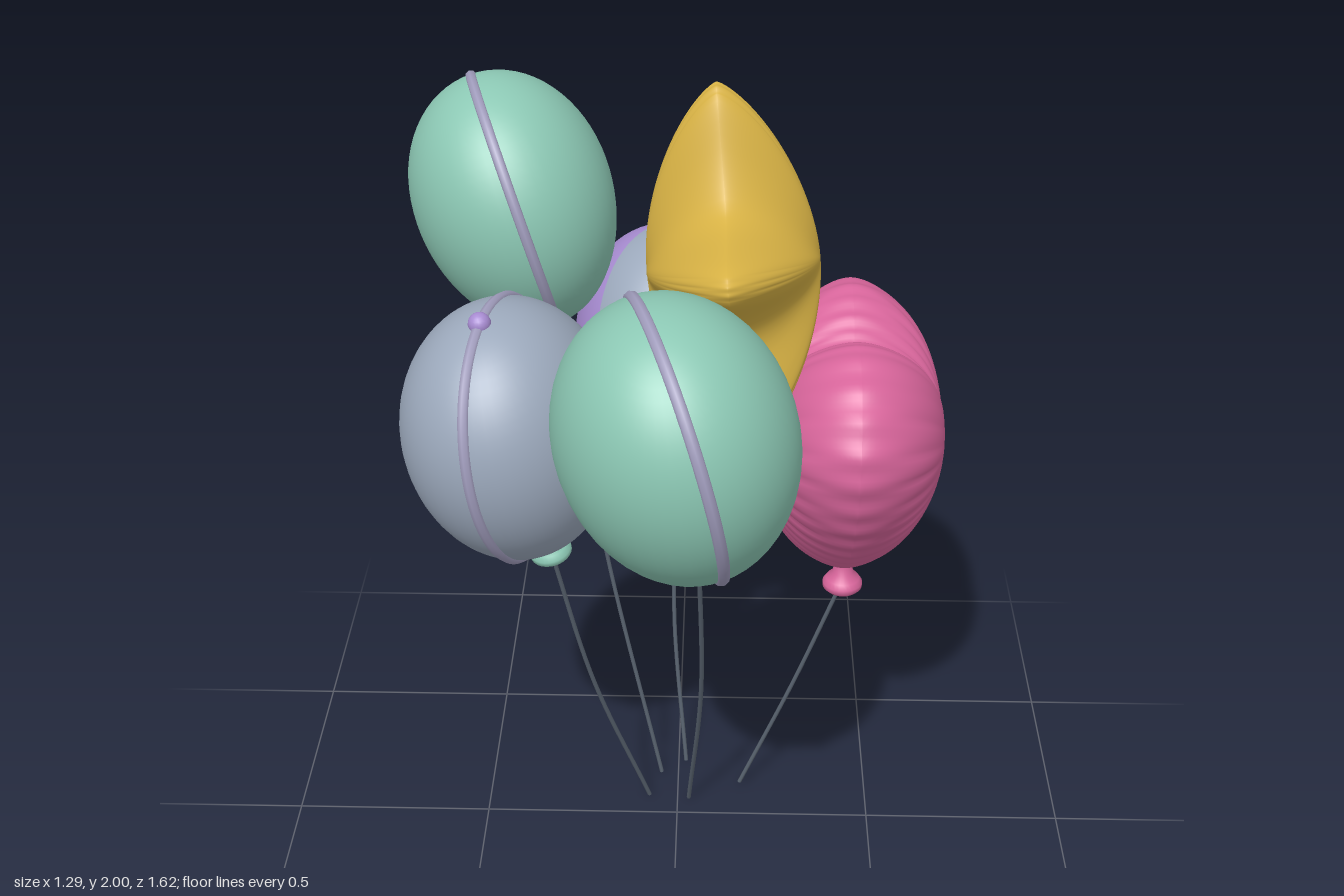
import * as THREE from 'three';

const mat = (name, color, side = THREE.FrontSide) => {
  const m = new THREE.MeshStandardMaterial({ color, side });
  m.name = name;
  return m;
};
const V = (x, y, z) => new THREE.Vector3(x, y, z);

export function createModel() {
  const root = new THREE.Group();
  root.name = 'balloonBunch';
  const teal = mat('teal', 0x8cc8b4);
  const purple = mat('purple', 0xa88cd2);
  const grey = mat('blueGrey', 0x9ca9bc);
  const lilac = mat('lilacSeam', 0xa19dbd);
  const gold = mat('gold', 0xd9b345);
  const pink = mat('pink', 0xd8659b);
  const cord = mat('cord', 0x56606c);

  const add = (parent, name, geo, material) => {
    const mesh = new THREE.Mesh(geo, material);
    mesh.name = name;
    parent.add(mesh);
    return mesh;
  };

  // Flared knot hanging below its origin, optionally only a sector of it
  const knotProfile = [[0.018, 0.06], [0.022, 0.03], [0.026, 0.005], [0.042, -0.012],
    [0.05, -0.024], [0.05, -0.036], [0.04, -0.046], [0, -0.048]]
    .map(([r, y]) => new THREE.Vector2(r, y)).reverse();
  const knotGeo = (start = 0, length = Math.PI * 2) =>
    new THREE.LatheGeometry(knotProfile, 28, start, length);

  // Thin cord with a gentle bow
  const string = (name, a, b, bow = 0.02) => {
    const mid = a.clone().lerp(b, 0.5);
    mid.x += bow * Math.sign(b.x - a.x) * -1;
    mid.z += bow * Math.sign(b.z - a.z) * -1;
    add(root, name, new THREE.TubeGeometry(new THREE.CatmullRomCurve3([a, mid, b]), 20, 0.0055, 6), cord);
  };

  // Egg shape: half thickness x, half length y, half width z, a little slimmer below
  const HX = 0.245, HY = 0.32, HZ = 0.285;
  const egg = (u, v, w) => {
    const s = 1 + 0.05 * v;
    return V(u * HX * s, v * HY, w * HZ * s);
  };
  const eggGeo = (start = 0, length = Math.PI * 2) => {
    const g = new THREE.SphereGeometry(1, 48, 36, start, length);
    const p = g.attributes.position, n = g.attributes.normal;
    for (let i = 0; i < p.count; i++) {
      const u = p.getX(i), v = p.getY(i), w = p.getZ(i);
      const q = egg(u, v, w);
      p.setXYZ(i, q.x, q.y, q.z);
      const k = V(u / HX, v / HY - 0.05 / HY, w / HZ).normalize();
      n.setXYZ(i, k.x, k.y, k.z);
    }
    return g;
  };
  const seamGeo = () => {
    const pts = [];
    for (let i = 0; i < 40; i++) {
      const a = (i / 40) * Math.PI * 2;
      pts.push(egg(0, Math.cos(a), Math.sin(a)).multiplyScalar(0.985));
    }
    return new THREE.TubeGeometry(new THREE.CatmullRomCurve3(pts, true), 96, 0.014, 8, true);
  };

  // Round balloons: centre, knot position, horizontal seam direction, string foot
  const rounds = [
    { name: 'backTealBalloon', c: V(-0.4, 1.58, -0.38), k: V(-0.28, 1.23, -0.3), seam: V(0.12, 0, 0.56),
      foot: V(-0.045, 0, -0.165), body: teal, knot: teal, band: lilac, size: 0.98 },
    { name: 'frontTealBalloon', c: V(0.01, 1.425, 0.5), k: V(0.055, 1.075, 0.35), seam: V(0.16, 0, 0.59),
      foot: V(0.03, 0, -0.06), body: teal, knot: teal, band: lilac, size: 1.04 },
    { name: 'greyBalloon', c: V(-0.36, 1.29, 0.225), k: V(-0.3, 0.95, 0.15), seam: V(-0.13, 0, 0.55),
      foot: V(-0.075, 0, -0.07), body: grey, knot: teal, band: lilac, size: 0.97, dot: purple },
    { name: 'purpleBalloon', c: V(-0.03, 1.12, -0.515), k: V(-0.01, 0.785, -0.4), seam: V(0.06, 0, 0.55),
      foot: V(0.02, 0, -0.215), body: purple, knot: purple, band: grey, size: 0.99, dot: purple, patch: true },
  ];
  for (const b of rounds) {
    const g = new THREE.Group();
    g.name = b.name;
    const up = b.c.clone().sub(b.k).normalize();
    const side = up.clone().cross(b.seam).normalize();
    const fwd = side.clone().cross(up);
    const q = new THREE.Quaternion().setFromRotationMatrix(new THREE.Matrix4().makeBasis(side, up, fwd));
    const shell = new THREE.Group();
    shell.name = 'shell';
    shell.position.copy(b.c);
    shell.quaternion.copy(q);
    shell.scale.setScalar(b.size);
    const end = new THREE.Group();
    end.name = 'knotGroup';
    end.position.copy(b.k);
    end.quaternion.copy(q);
    g.add(shell, end);
    if (b.patch) {
      // One front panel and its share of the knot have another colour
      const s = 0.65, e = Math.PI / 2;
      add(shell, 'panel', eggGeo(s, e - s), grey);
      add(shell, 'body', eggGeo(e, Math.PI * 2 - (e - s)), b.body);
      add(end, 'knotPanel', knotGeo(-Math.PI / 2, Math.PI / 2), teal);
      add(end, 'knot', knotGeo(0, Math.PI * 1.5), b.knot);
    } else {
      add(shell, 'body', eggGeo(), b.body);
      add(end, 'knot', knotGeo(), b.knot);
    }
    add(shell, 'seam', seamGeo(), b.band);
    if (b.dot) add(shell, 'topDot', new THREE.SphereGeometry(0.026, 16, 12), b.dot).position.y = HY;
    root.add(g);
    string(b.name + 'String', b.k, b.foot);
  }

  // Foil pillow: one half inflated from a closed outline of [y, z] points
  const foilHalf = (outline, H, pow, round, wrinkle, folds, sgn) => {
    const curve = new THREE.CatmullRomCurve3(outline.map(([y, z]) => V(0, y, z)), true, 'centripetal');
    const N = 200, M = 28, pos = [], idx = [];
    const rim = curve.getPoints(N).slice(0, N);
    for (let i = 0; i <= M; i++) {
      const t = Math.sin((i / M) * Math.PI / 2);
      for (let j = 0; j < N; j++) {
        const a = (j / N) * Math.PI * 2;
        // Creases gather towards the welded rim
        const crease = Math.pow(Math.abs(Math.sin(a * folds / 2 + Math.sin(a * 3))), 0.6) - 0.7;
        const h = H * Math.pow(Math.max(0, 1 - Math.pow(t, pow)), round)
          + wrinkle * crease * Math.pow(t, 5) * (1 - t * t) * 4;
        const edge = t * (1 + wrinkle * 0.5 * Math.sin(a * folds) * Math.pow(t, 8));
        pos.push(sgn * Math.max(h, 0), rim[j].y * edge, rim[j].z * edge);
      }
    }
    for (let i = 0; i < M; i++) for (let j = 0; j < N; j++) {
      const k = (j + 1) % N;
      const a = i * N + j, b = a + N, c = (i + 1) * N + k, d = i * N + k;
      if (sgn > 0) idx.push(a, b, c, a, c, d);
      else idx.push(a, c, b, a, d, c);
    }
    const geo = new THREE.BufferGeometry();
    geo.setAttribute('position', new THREE.Float32BufferAttribute(pos, 3));
    geo.setIndex(idx);
    geo.computeVertexNormals();
    return geo;
  };
  const foil = (name, material, position, tilt, ...shape) => {
    const g = new THREE.Group();
    g.name = name;
    g.position.copy(position);
    g.rotation.z = tilt;
    add(g, 'leftHalf', foilHalf(...shape, 1), material);
    add(g, 'rightHalf', foilHalf(...shape, -1), material);
    root.add(g);
    return g;
  };

  // Star balloon
  const star = [];
  for (let i = 0; i < 5; i++) {
    const a = (i / 5) * Math.PI * 2;
    for (const [r, o] of [[0.415, -0.07], [0.43, 0], [0.415, 0.07], [0.245, Math.PI / 5]])
      star.push([r * Math.cos(a + o), r * Math.sin(a + o)]);
  }
  foil('starBalloon', gold, V(0.125, 1.573, -0.05), 0.1, star, 0.197, 1.8, 0.75, 0.006, 30);
  string('starString', V(0.14, 1.37, -0.05), V(0.09, 0.74, -0.06), 0.01);
  string('starStringTie', V(0.07, 0.79, -0.06), V(0.1, 0.77, -0.05), 0.005);

  // Heart balloon
  const half = [[0.29, 0.07], [0.32, 0.17], [0.265, 0.31], [0.14, 0.39], [-0.01, 0.36],
    [-0.15, 0.27], [-0.27, 0.15], [-0.35, 0.05]];
  const heart = [[0.25, 0], ...half, [-0.375, 0], ...half.map(([y, z]) => [y, -z]).reverse()];
  const heartGroup = foil('heartBalloon', pink, V(0.415, 1.08, -0.135), 0, heart, 0.222, 2.4, 0.58, 0.018, 34);
  add(heartGroup, 'knot', knotGeo(), pink).position.y = -0.4;
  string('heartString', V(0.41, 0.64, -0.135), V(0.165, 0.01, -0.115), 0.01);

  return root;
}
